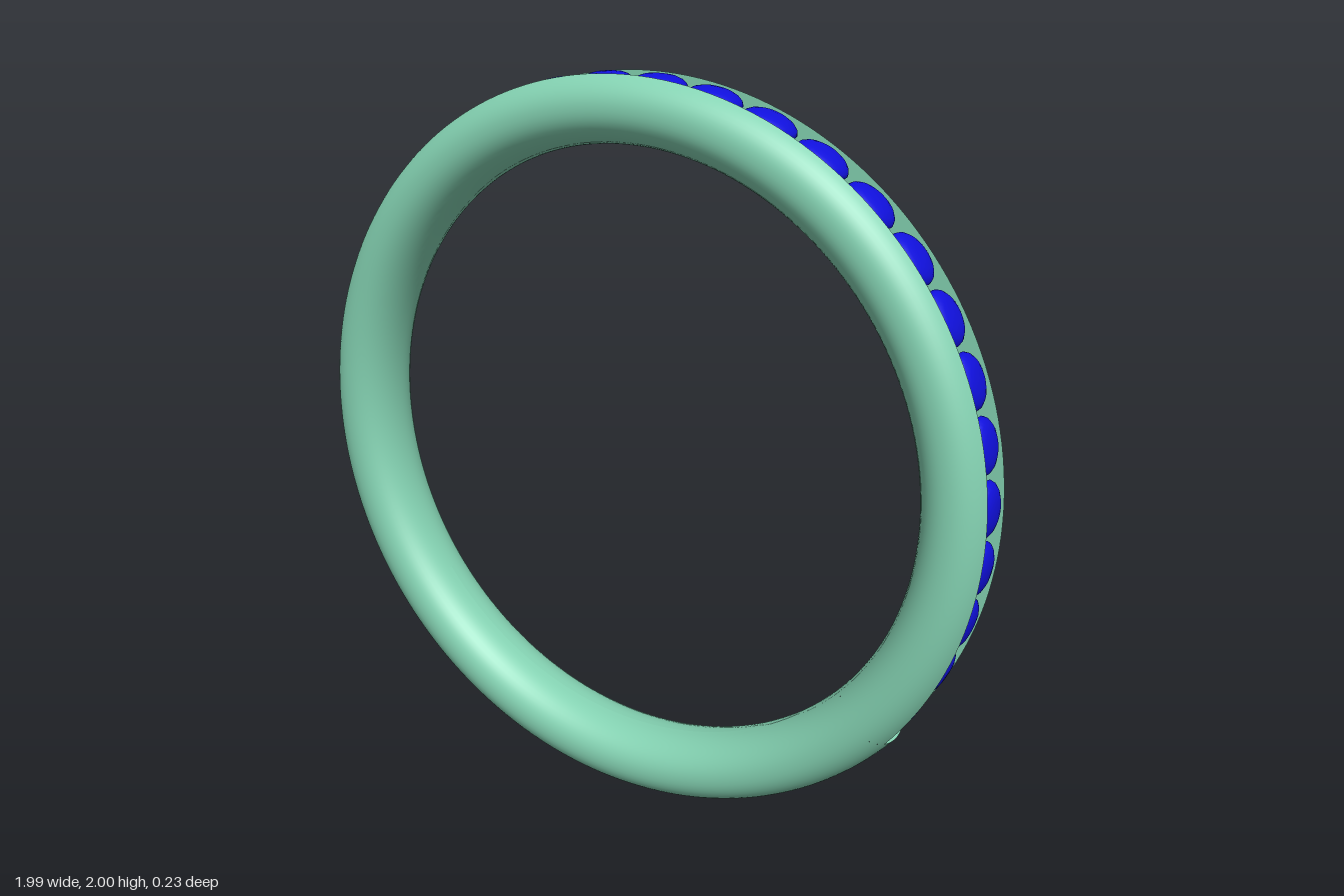
import * as THREE from 'three';

const CENTRE_Y = 1.005;
const MID_R = 0.9125, HALF_R = 0.0925, HALF_W = 0.113; // oval band section
const SLOT = 0.06, FLOOR_R = 0.94;                     // stone channel
const END = THREE.MathUtils.degToRad(52.6);            // channel ends, measured from the bottom
const STEP = THREE.MathUtils.degToRad(9.1);            // stone spacing
const STONES = 28;

const green = new THREE.MeshStandardMaterial({ color: 0x84d2b2 });
const blue = new THREE.MeshStandardMaterial({ color: 0x1010dd });

// Points (radius, z) of the slightly squared oval section between two angles
function ovalArc(t0, t1, n) {
  const soft = v => Math.sign(v) * Math.pow(Math.abs(v), 2 / 2.1);
  return Array.from({ length: n + 1 }, (_, i) => {
    const t = t0 + (t1 - t0) * i / n;
    return new THREE.Vector2(MID_R + HALF_R * soft(Math.cos(t)), HALF_W * soft(Math.sin(t)));
  });
}

// Sweep a (radius, z) profile round the ring axis; angle 0 is the bottom
function sweep(name, points, start, length, segments) {
  const geo = new THREE.LatheGeometry(points, segments, start, length);
  geo.rotateX(Math.PI / 2);
  const mesh = new THREE.Mesh(geo, green);
  mesh.name = name;
  return mesh;
}

export function createModel() {
  const ring = new THREE.Group();
  ring.name = 'ring';
  ring.position.y = CENTRE_Y;
  const open = 2 * Math.PI - 2 * END;

  // Plain lower part of the band
  ring.add(sweep('plainBand', ovalArc(-Math.PI, Math.PI, 48), -END, 2 * END, 64));

  // Upper part, open along the outside for the stones
  const lipT = Math.asin(Math.pow(SLOT / HALF_W, 2.1 / 2));
  const shell = ovalArc(lipT, 2 * Math.PI - lipT, 44);
  ring.add(sweep('channelBand', shell, END, open, 140));

  // Channel walls and floor, kept separate for sharp edges
  const lipR = shell[0].x;
  const corners = [[lipR, -SLOT], [FLOOR_R, -SLOT], [FLOOR_R, SLOT], [lipR, SLOT]]
    .map(p => new THREE.Vector2(...p));
  ['backWall', 'channelFloor', 'frontWall'].forEach((name, i) =>
    ring.add(sweep(name, [corners[i], corners[i + 1]], END, open, 140)));

  // Walls closing the two ends of the channel
  const wall = new THREE.Shape([corners[1], ...ovalArc(-lipT, lipT, 16), corners[2]]);
  for (const side of [-1, 1]) {
    const geo = new THREE.ShapeGeometry(wall);
    geo.rotateX(Math.PI / 2); // radius along x, width along z
    geo.rotateZ(side * END - Math.PI / 2);
    const end = new THREE.Mesh(geo, green.clone());
    end.material.side = THREE.DoubleSide;
    end.name = side > 0 ? 'channelEndLeft' : 'channelEndRight';
    ring.add(end);
  }

  // Domed round stone, trimmed to the width of the channel
  const stoneProfile = [[0, -0.025], [0.045, -0.02], [0.066, -0.004], [0.07, 0.003], [0.066, 0.012],
    [0.056, 0.02], [0.04, 0.0265], [0.02, 0.0295], [0, 0.03]].map(p => new THREE.Vector2(...p));
  const stoneGeo = new THREE.LatheGeometry(stoneProfile, 32);
  const pos = stoneGeo.attributes.position;
  for (let i = 0; i < pos.count; i++) {
    pos.setZ(i, THREE.MathUtils.clamp(pos.getZ(i), -SLOT + 0.001, SLOT - 0.001));
  }

  // Row of stones, centred on the top
  for (let i = 0; i < STONES; i++) {
    const a = (i - (STONES - 1) / 2) * STEP;
    const stone = new THREE.Mesh(stoneGeo, blue);
    stone.name = 'stone' + (i + 1);
    stone.position.set(Math.sin(a) * 0.965, Math.cos(a) * 0.965, 0);
    stone.rotation.z = -a;
    ring.add(stone);
  }

  const model = new THREE.Group();
  model.name = 'eternityRing';
  model.add(ring);
  return model;
}
